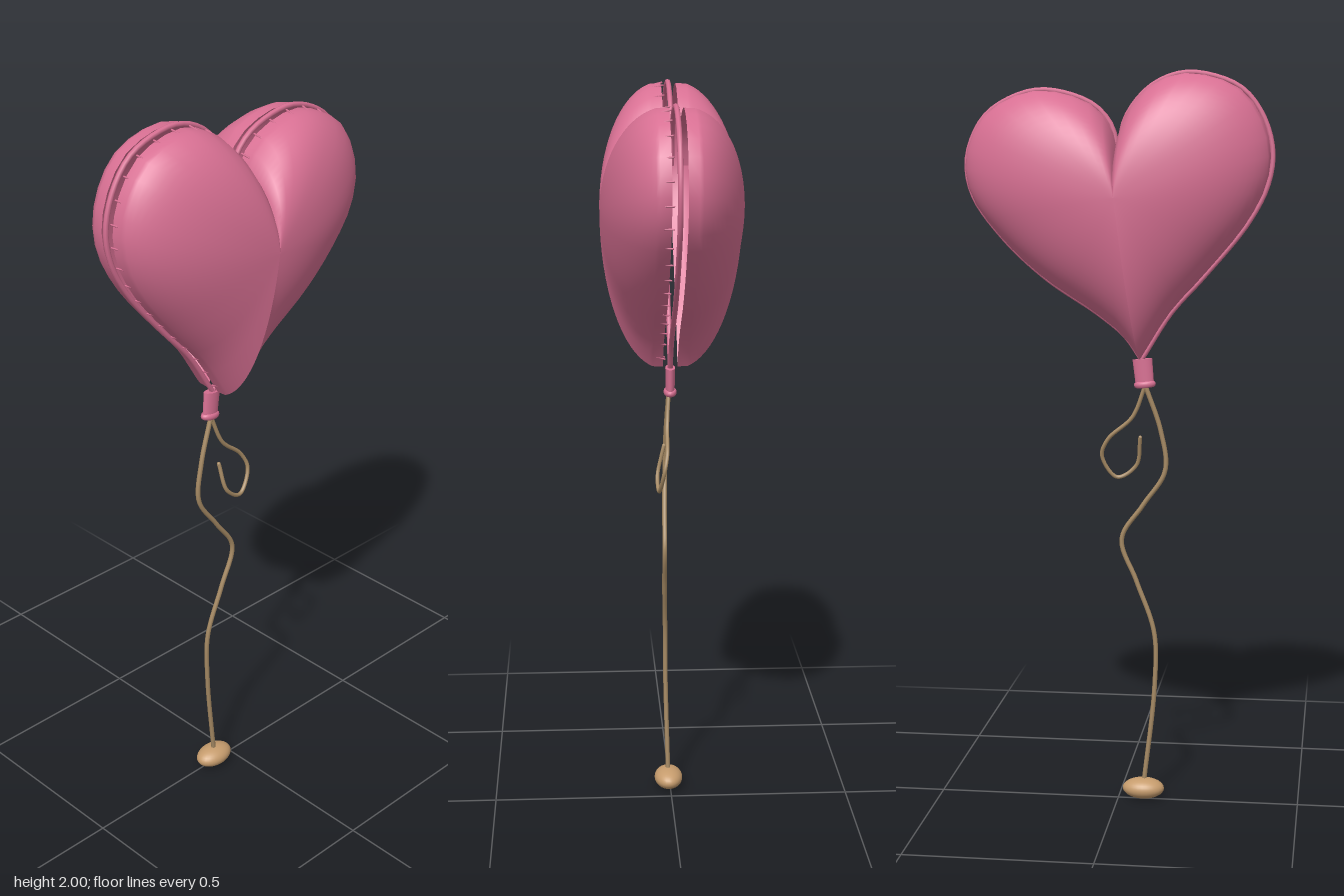
import * as THREE from 'three';

const pink = new THREE.MeshStandardMaterial({ color: 0xd87093, side: THREE.DoubleSide });
const twine = new THREE.MeshStandardMaterial({ color: 0xa68a64 });
const wood = new THREE.MeshStandardMaterial({ color: 0xc69c6d });

const CENTRE = new THREE.Vector2(-0.01, 1.67);
const EDGE_Z = 0.02, BULGE = 0.17;

const curve = pts => new THREE.CatmullRomCurve3(pts.map(([x, y, z = 0]) => new THREE.Vector3(x, y, z)));

// Heart outline, counter-clockwise, split at the notch and the tip
const halves = {
  right: curve([[0, 1.79], [-0.02, 1.88], [-0.085, 1.96], [-0.17, 1.995], [-0.26, 1.985], [-0.333, 1.95],
    [-0.386, 1.878], [-0.41, 1.788], [-0.397, 1.7], [-0.345, 1.6], [-0.23, 1.46], [-0.143, 1.363], [-0.063, 1.236]]),
  left: curve([[-0.063, 1.236], [-0.02, 1.298], [0.053, 1.358], [0.196, 1.453], [0.312, 1.56], [0.395, 1.676],
    [0.41, 1.772], [0.37, 1.873], [0.307, 1.924], [0.206, 1.953], [0.074, 1.918], [0.02, 1.862], [0, 1.79]]),
};

// Point on the dome: s runs from 0 at the centre to 1 at the rim
function domePoint(p, s, side) {
  return new THREE.Vector3(
    CENTRE.x + (p.x - CENTRE.x) * s,
    CENTRE.y + (p.y - CENTRE.y) * s,
    side * (EDGE_Z + BULGE * Math.sqrt(Math.max(0, 1 - s * s))));
}

// One lobe of a puffed shell, as rings shrinking towards the centre
function lobe(outline, side) {
  const rim = outline.getSpacedPoints(26), rings = 18, pos = [], idx = [];
  for (let i = 0; i <= rings; i++) {
    const s = 0.99 * Math.sin((i / rings) * Math.PI / 2);
    // the last ring sits flat on the rim plane
    for (const p of rim) {
      const v = domePoint(p, s, side);
      if (i === rings) v.z = side * EDGE_Z;
      pos.push(v.x, v.y, v.z);
    }
  }
  const n = rim.length;
  for (let i = 0; i < rings; i++) for (let j = 0; j < n - 1; j++) {
    const a = i * n + j, b = a + n, c = b + 1, d = a + 1;
    if (side > 0) idx.push(a, b, c, a, c, d);
    else idx.push(a, c, b, a, d, c);
  }
  const g = new THREE.BufferGeometry();
  g.setAttribute('position', new THREE.Float32BufferAttribute(pos, 3));
  g.setIndex(idx);
  g.computeVertexNormals();
  return g;
}

function add(parent, name, geometry, material) {
  const m = new THREE.Mesh(geometry, material);
  m.name = name;
  parent.add(m);
  return m;
}

// String with closed, rounded ends
function cord(parent, name, path, radius) {
  const g = new THREE.Group();
  g.name = name;
  add(g, name + 'Strand', new THREE.TubeGeometry(path, 80, radius, 8), twine);
  for (const t of [0, 1])
    add(g, name + 'End', new THREE.SphereGeometry(radius, 8, 6), twine).position.copy(path.getPoint(t));
  parent.add(g);
}

export function createModel() {
  const model = new THREE.Group();
  model.name = 'heartBalloon';

  // Two shells and the seam cord between them
  for (const [name, outline] of Object.entries(halves)) {
    add(model, name + 'FrontLobe', lobe(outline, 1), pink);
    add(model, name + 'BackLobe', lobe(outline, -1), pink);
    add(model, name + 'Seam', new THREE.TubeGeometry(outline, 52, 0.007, 8), pink);
  }

  // Stitches over the front rim
  const stitches = new THREE.Group();
  stitches.name = 'stitches';
  const stitchGeo = new THREE.CapsuleGeometry(0.0025, 0.026, 3, 6);
  const up = new THREE.Vector3(0, 1, 0);
  for (const outline of Object.values(halves)) {
    for (let i = 0; i < 22; i++) {
      const p = outline.getPointAt((i + 0.5) / 22);
      const a = domePoint(p, 0.995, 1).setZ(0.014), b = domePoint(p, 0.975, 1).setZ(0.042);
      const m = add(stitches, 'stitch', stitchGeo, pink);
      m.position.copy(a).lerp(b, 0.5);
      m.quaternion.setFromUnitVectors(up, b.sub(a).normalize());
    }
  }
  model.add(stitches);

  // Flattened neck with a rolled lip
  const neck = new THREE.Group();
  neck.name = 'neck';
  add(neck, 'neckSleeve', new THREE.CylinderGeometry(0.027, 0.025, 0.075, 20), pink).scale.z = 0.5;
  const lip = add(neck, 'neckLip', new THREE.TorusGeometry(0.021, 0.009, 10, 24), pink);
  lip.rotation.x = Math.PI / 2;
  lip.position.y = -0.032;
  lip.scale.y = 0.6;
  neck.position.set(-0.069, 1.2, 0);
  neck.rotation.z = -0.1;
  model.add(neck);

  // Long string and the loose curled end
  cord(model, 'mainString', curve([[-0.073, 1.165, 0.004], [-0.115, 1.04, 0.01], [-0.127, 0.93, 0.012],
    [-0.066, 0.833, 0.016], [-0.007, 0.737, 0.018], [-0.048, 0.62, 0.017], [-0.098, 0.477, 0.013],
    [-0.1, 0.324, 0.012], [-0.071, 0.045, 0.006]]), 0.0065);
  cord(model, 'looseString', curve([[-0.073, 1.165, 0.004], [-0.037, 1.077, 0.01], [0.03, 1.015, 0.013],
    [0.048, 0.967, 0.022], [0.008, 0.907, 0.034], [-0.045, 0.94, 0.036], [-0.058, 1.02, 0.018]]), 0.0055);

  // Pebble-shaped weight
  const weight = add(model, 'weight', new THREE.SphereGeometry(1, 28, 18), wood);
  weight.scale.set(0.058, 0.029, 0.04);
  weight.position.set(-0.07, 0.031, 0.005);

  return model;
}
